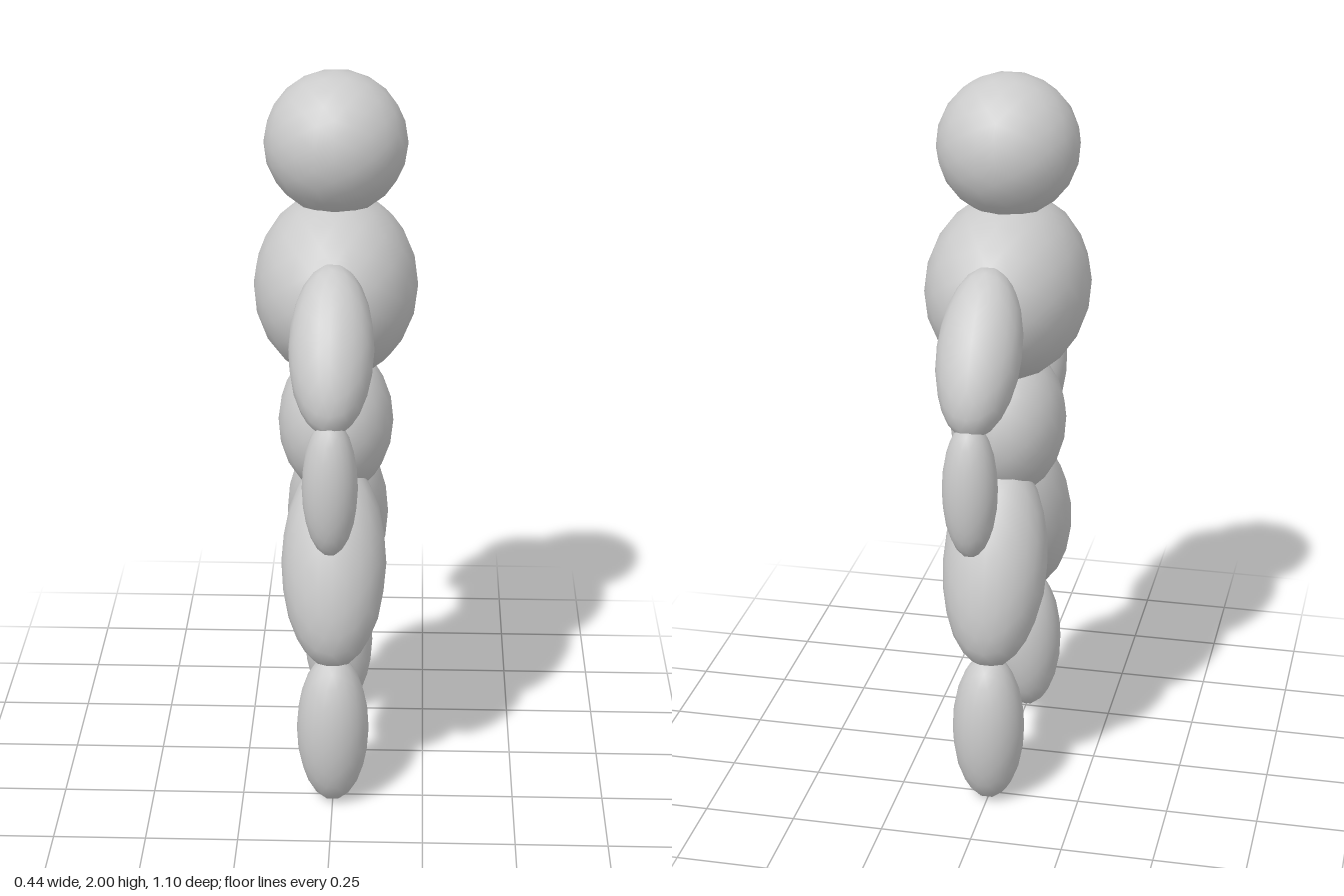
import * as THREE from 'three';

export function createModel() {
  const model = new THREE.Group();
  const material = new THREE.MeshStandardMaterial({ color: 0xcccccc });
  const ball = new THREE.IcosahedronGeometry(1, 3);

  // One ellipsoid: radii along x, y, z, then a tilt about x in degrees
  function ellipsoid(name, parent, [y, z], radii, tilt = 0) {
    const mesh = new THREE.Mesh(ball, material);
    mesh.name = name;
    mesh.position.set(0, y, z);
    mesh.scale.set(...radii);
    mesh.rotation.x = THREE.MathUtils.degToRad(tilt);
    parent.add(mesh);
  }

  // Body
  ellipsoid('head', model, [1.81, 0], [0.19, 0.19, 0.19]);
  ellipsoid('chest', model, [1.42, 0], [0.22, 0.25, 0.3]);
  ellipsoid('hips', model, [1.03, 0], [0.157, 0.21, 0.195]);

  // Limbs spread along z, mirrored on each side
  for (const side of [1, -1]) {
    const arm = new THREE.Group();
    arm.name = side > 0 ? 'frontArm' : 'backArm';
    ellipsoid('upperArm', arm, [1.365, 0.36 * side], [0.11, 0.228, 0.11], -36 * side);
    ellipsoid('forearm', arm, [1.033, 0.479 * side], [0.072, 0.19, 0.072]);

    const leg = new THREE.Group();
    leg.name = side > 0 ? 'frontLeg' : 'backLeg';
    ellipsoid('thigh', leg, [0.68, 0.175 * side], [0.143, 0.29, 0.143], -21 * side);
    ellipsoid('shin', leg, [0.222, 0.268 * side], [0.099, 0.222, 0.099]);

    model.add(arm, leg);
  }
  return model;
}
